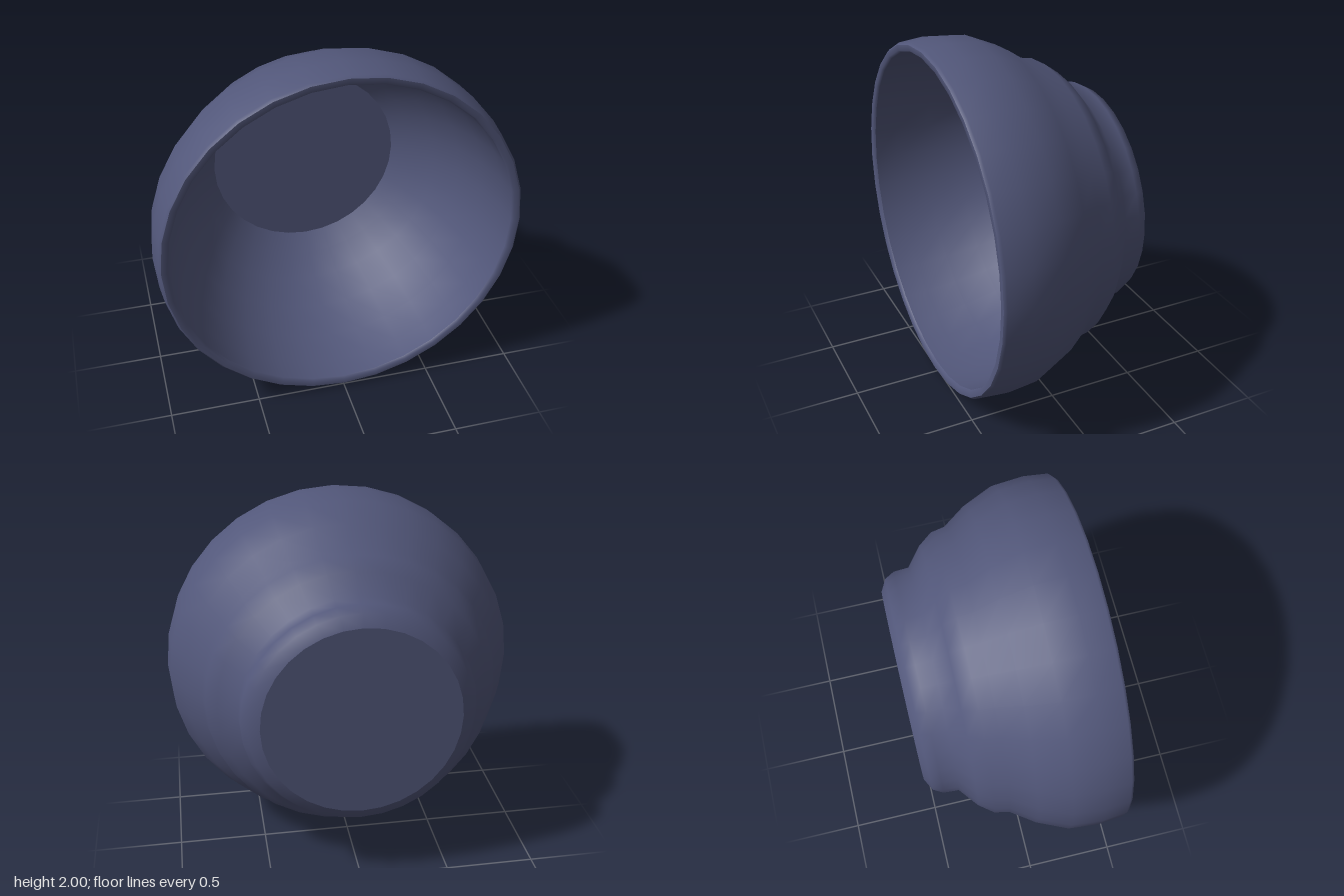
import * as THREE from 'three';

const SEGMENTS = 32;

export function createModel() {
  const model = new THREE.Group();
  model.name = 'bowl';
  const glaze = new THREE.MeshStandardMaterial({ color: 0x52577a });

  // Turn a profile of [radius, z] points around the z axis.
  function turned(name, profile) {
    const geometry = new THREE.LatheGeometry(
      profile.map(([r, z]) => new THREE.Vector2(r, z)), SEGMENTS);
    geometry.rotateX(Math.PI / 2);
    const mesh = new THREE.Mesh(geometry, glaze);
    mesh.name = name;
    mesh.position.y = 1;
    model.add(mesh);
  }

  // Flat underside of the foot
  turned('base', [[0, -0.52], [0.54, -0.52]]);

  // Stepped outside: rounded foot, middle step, wide belly
  turned('outerWall', [
    [0.54, -0.52], [0.605, -0.485], [0.635, -0.43], [0.64, -0.345],
    [0.745, -0.26], [0.805, -0.18], [0.82, -0.1],
    [0.91, 0.03], [0.985, 0.2], [1, 0.37], [0.987, 0.505], [0.975, 0.52],
  ]);

  // Narrow lip around the opening
  turned('rim', [[0.975, 0.52], [0.945, 0.52], [0.935, 0.505]]);

  // Smooth hollow inside
  turned('innerWall', [
    [0.935, 0.505], [0.93, 0.37], [0.895, 0.18], [0.83, -0.02],
    [0.74, -0.19], [0.64, -0.32], [0.545, -0.41],
  ]);

  // Flat floor inside
  turned('floor', [[0.545, -0.41], [0, -0.41]]);

  return model;
}
